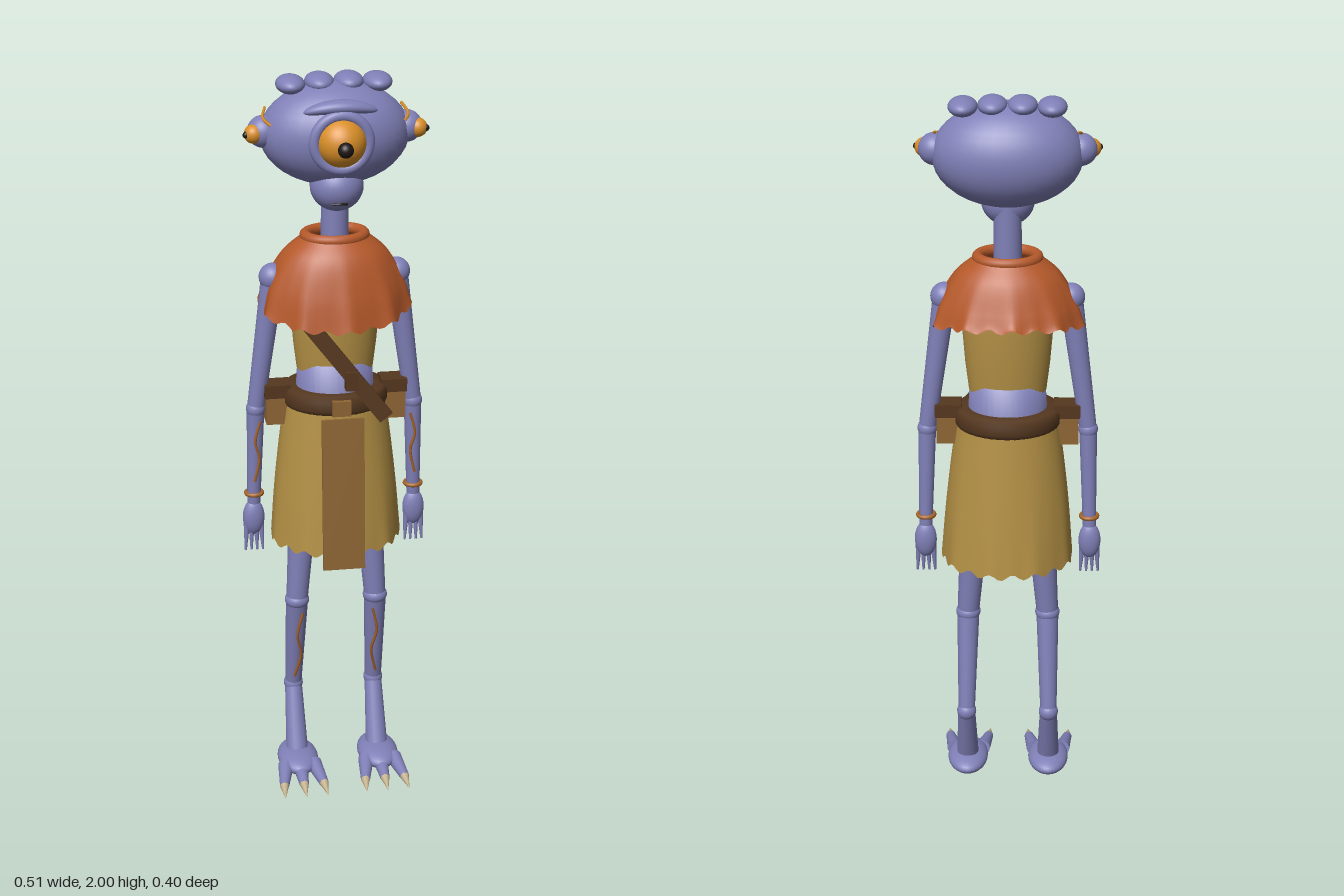
import * as THREE from 'three';
import { ParametricGeometry } from 'three/addons/geometries/ParametricGeometry.js';

const mat = (name, color, side = THREE.FrontSide) => {
  const m = new THREE.MeshStandardMaterial({ color, side });
  m.name = name;
  return m;
};

export function createModel() {
  const root = new THREE.Group();
  root.name = 'oneEyedTraveller';
  const skin = mat('violetSkin', 0x8080b8);
  const capeCloth = mat('rustCloth', 0xb5592a, THREE.DoubleSide);
  const tan = mat('tanCloth', 0xb39045, THREE.DoubleSide);
  const brown = mat('brownLeather', 0x8f6534);
  const dark = mat('darkLeather', 0x54371f);
  const amber = mat('amberEye', 0xd98f28);
  const black = mat('blackPupil', 0x1e1714);
  const claw = mat('ivoryClaw', 0xc4b28f);
  const paint = mat('ochrePaint', 0xa8662a);
  const V = (x, y, z) => new THREE.Vector3(x, y, z);
  const CZ = -0.035; // body axis depth

  const add = (name, geo, m, pos = [0, 0, 0], parent = root) => {
    const mesh = new THREE.Mesh(geo, m);
    mesh.name = name;
    mesh.position.set(...pos);
    parent.add(mesh);
    return mesh;
  };
  const ball = (name, m, pos, r, parent) => {
    const [a, b, c] = Array.isArray(r) ? r : [r, r, r];
    return add(name, new THREE.SphereGeometry(1, 32, 20).scale(a, b, c), m, pos, parent);
  };
  // Align a Y-axis mesh between two points
  const span = (mesh, a, b) => {
    mesh.position.copy(a).add(b).multiplyScalar(0.5);
    mesh.quaternion.setFromUnitVectors(V(0, 1, 0), b.clone().sub(a).normalize());
    return mesh;
  };
  const limb = (name, m, a, b, ra, rb, parent) =>
    span(add(name, new THREE.CylinderGeometry(rb, ra, a.distanceTo(b), 20), m, undefined, parent), a, b);
  const plank = (name, m, a, b, w, d) =>
    span(add(name, new THREE.BoxGeometry(w, a.distanceTo(b), d), m), a, b);
  const line = (name, m, pts, r, parent) =>
    add(name, new THREE.TubeGeometry(new THREE.CatmullRomCurve3(pts), 24, r, 6), m, undefined, parent);
  const lathe = (name, m, pts, depth) =>
    add(name, new THREE.LatheGeometry(pts.map(p => new THREE.Vector2(...p)), 40).scale(1, 1, depth), m, [0, 0, CZ]);

  // Head, jaw and neck
  ball('head', skin, [0, 1.847, CZ], [0.195, 0.136, 0.132]);
  ball('jaw', skin, [0, 1.715, 0], [0.07, 0.066, 0.07]);
  line('mouth', black, [V(-0.02, 1.68, 0.058), V(0, 1.682, 0.062), V(0.02, 1.68, 0.058)], 0.003);
  limb('neck', skin, V(0, 1.5, CZ), V(0, 1.74, CZ), 0.038, 0.035);
  [-0.113, -0.038, 0.038, 0.113].forEach(x =>
    ball('crestBump', skin, [x, Math.abs(x) > 0.1 ? 1.974 : 1.978, -0.047], [0.038, 0.024, 0.057]));

  // Arched brow above the main eye
  const brow = ball('brow', skin, [0, 1.94, 0.07], [0.095, 0.018, 0.026]);
  const bp = brow.geometry.attributes.position;
  for (let i = 0; i < bp.count; i++) {
    const k = bp.getX(i) ** 2;
    bp.setY(i, bp.getY(i) - 1.6 * k);
    bp.setZ(i, bp.getZ(i) - 0.8 * k);
  }
  brow.geometry.computeVertexNormals();

  // Main eye
  add('eyeRim', new THREE.TorusGeometry(0.07, 0.015, 14, 40), skin, [0, 1.85, 0.085]);
  ball('mainEye', amber, [0, 1.85, 0.075], 0.065);
  ball('mainPupil', black, [0, 1.848, 0.15], 0.02);

  // Draped cloth: open wavy shell from a height/radius profile
  const drape = (name, m, profile, hem, wave, lobes, scallop) => {
    const curve = new THREE.CatmullRomCurve3(profile.map(p => V(...p)));
    const f = (u, v, t) => {
      const a = u * Math.PI * 2, p = curve.getPoint(1 - v), k = 1 - v;
      const w = 1 + wave * k * k * Math.sin(lobes * a + 0.6);
      const drop = k ** 3 * (hem * (1 - Math.cos(a)) / 2 + scallop * Math.sin(lobes * 2 * a));
      t.set(Math.sin(a) * p.x * w, p.y + drop, CZ + Math.cos(a) * p.z * w);
    };
    return add(name, new ParametricGeometry(f, 96, 16), m);
  };
  // Profiles hold side radius, height, depth radius
  drape('cape', capeCloth,
    [[0.085, 1.575, 0.066], [0.14, 1.525, 0.105], [0.182, 1.44, 0.135], [0.2, 1.35, 0.156]],
    0.07, 0.035, 10, 0.006);
  drape('skirt', tan,
    [[0.135, 1.125, 0.112], [0.152, 1, 0.126], [0.168, 0.85, 0.143], [0.178, 0.712, 0.158]],
    0.005, 0.015, 9, 0.008);
  const collar = add('collar', new THREE.TorusGeometry(0.078, 0.015, 12, 40), capeCloth, [0, 1.572, CZ]);
  collar.rotation.x = Math.PI / 2;
  collar.scale.set(1, 0.8, 1);

  // Torso, tunic and belt
  lathe('waist', skin, [[0, 0.98], [0.1, 1], [0.108, 1.1], [0.1, 1.23], [0, 1.24]], 0.82);
  lathe('tunic', tan, [[0.103, 1.205], [0.112, 1.28], [0.12, 1.38], [0.12, 1.46], [0.09, 1.53], [0.035, 1.555]], 0.75);
  lathe('belt', dark,
    [[0.1, 1.1], [0.135, 1.1], [0.143, 1.115], [0.143, 1.14], [0.135, 1.155], [0.1, 1.155]], 0.84);
  add('buckle', new THREE.BoxGeometry(0.05, 0.042, 0.016), brown, [0, 1.127, 0.086]);
  plank('shoulderStrap', dark, V(0.122, 1.09, 0.075), V(-0.1, 1.38, 0.05), 0.042, 0.014);
  add('strapPouch', new THREE.BoxGeometry(0.034, 0.052, 0.026), dark, [0.03, 1.197, 0.066]);
  plank('frontPanel', brown, V(0, 0.677, 0.132), V(0, 1.105, 0.108), 0.114, 0.009);

  for (const s of [-1, 1]) {
    const P = (x, y, z) => V(s * x, y, z);
    const side = new THREE.Group();
    side.name = s > 0 ? 'leftSide' : 'rightSide';
    root.add(side);
    const orb = (n, m, x, y, z, r) => ball(n, m, [s * x, y, z], r, side);

    // Side eye with painted brow line
    orb('sideEyeSocket', skin, 0.186, 1.858, -0.028, 0.042);
    orb('sideEye', amber, 0.213, 1.857, -0.01, 0.025);
    orb('sidePupil', black, 0.233, 1.857, -0.002, 0.009);
    line('sideBrow', amber, [P(0.172, 1.885, 0.028), P(0.188, 1.896, -0.015), P(0.178, 1.912, -0.06)], 0.004, side);

    // Belt pouch
    add('beltPouch', new THREE.BoxGeometry(0.062, 0.1, 0.055), brown, [s * 0.158, 1.103, CZ], side);
    add('pouchFlap', new THREE.BoxGeometry(0.07, 0.036, 0.063), dark, [s * 0.158, 1.147, CZ], side);

    // Arm
    const shoulder = P(0.165, 1.463, CZ), elbow = P(0.215, 1.09, -0.04), wrist = P(0.222, 0.81, -0.052);
    orb('shoulder', skin, 0.165, 1.463, CZ, 0.037);
    limb('upperArm', skin, shoulder, elbow, 0.031, 0.023, side);
    orb('elbow', skin, 0.215, 1.09, -0.04, 0.026);
    limb('forearm', skin, elbow, wrist, 0.024, 0.018, side);
    const band = add('bracelet', new THREE.TorusGeometry(0.022, 0.006, 8, 24), paint, [s * 0.221, 0.838, -0.051], side);
    band.rotation.x = Math.PI / 2;
    line('forearmPaint', paint, [P(0.205, 1.06, -0.02), P(0.219, 1.0, -0.021),
      P(0.208, 0.95, -0.025), P(0.221, 0.88, -0.03)], 0.004, side);
    orb('palm', skin, 0.223, 0.765, -0.052, [0.03, 0.052, 0.022]);
    [-1.5, -0.5, 0.5, 1.5].forEach(i =>
      limb('finger', skin, P(0.223 + i * 0.013, 0.75, -0.05), P(0.223 + i * 0.016, 0.668, -0.046), 0.009, 0.003, side));

    // Leg with backward-bent ankle
    const hip = P(0.075, 1.02, -0.03), knee = P(0.11, 0.522, -0.012);
    const hock = P(0.115, 0.232, -0.065), ankle = P(0.115, 0.05, 0.005);
    limb('thigh', skin, hip, knee, 0.046, 0.03, side);
    orb('knee', skin, 0.11, 0.522, -0.012, [0.034, 0.026, 0.034]);
    limb('shin', skin, knee, hock, 0.031, 0.023, side);
    orb('hock', skin, 0.115, 0.232, -0.065, 0.027);
    limb('lowerLeg', skin, hock, ankle, 0.024, 0.031, side);
    line('shinPaint', paint, [P(0.098, 0.495, 0.022), P(0.112, 0.42, 0.011),
      P(0.1, 0.35, -0.008), P(0.116, 0.27, -0.03)], 0.004, side);

    // Foot and clawed toes
    orb('foot', skin, 0.115, 0.036, 0.017, [0.057, 0.03, 0.092]);
    [-1, 0, 1].forEach(i => {
      const base = P(0.115 + i * 0.04, 0.034, 0.06), mid = P(0.115 + i * 0.056, 0.021, 0.148);
      limb('toe', skin, base, mid, 0.022, 0.013, side);
      limb('toeClaw', claw, mid, P(0.115 + i * 0.06, 0.012, 0.2), 0.0125, 0.0005, side);
    });
  }
  return root;
}
